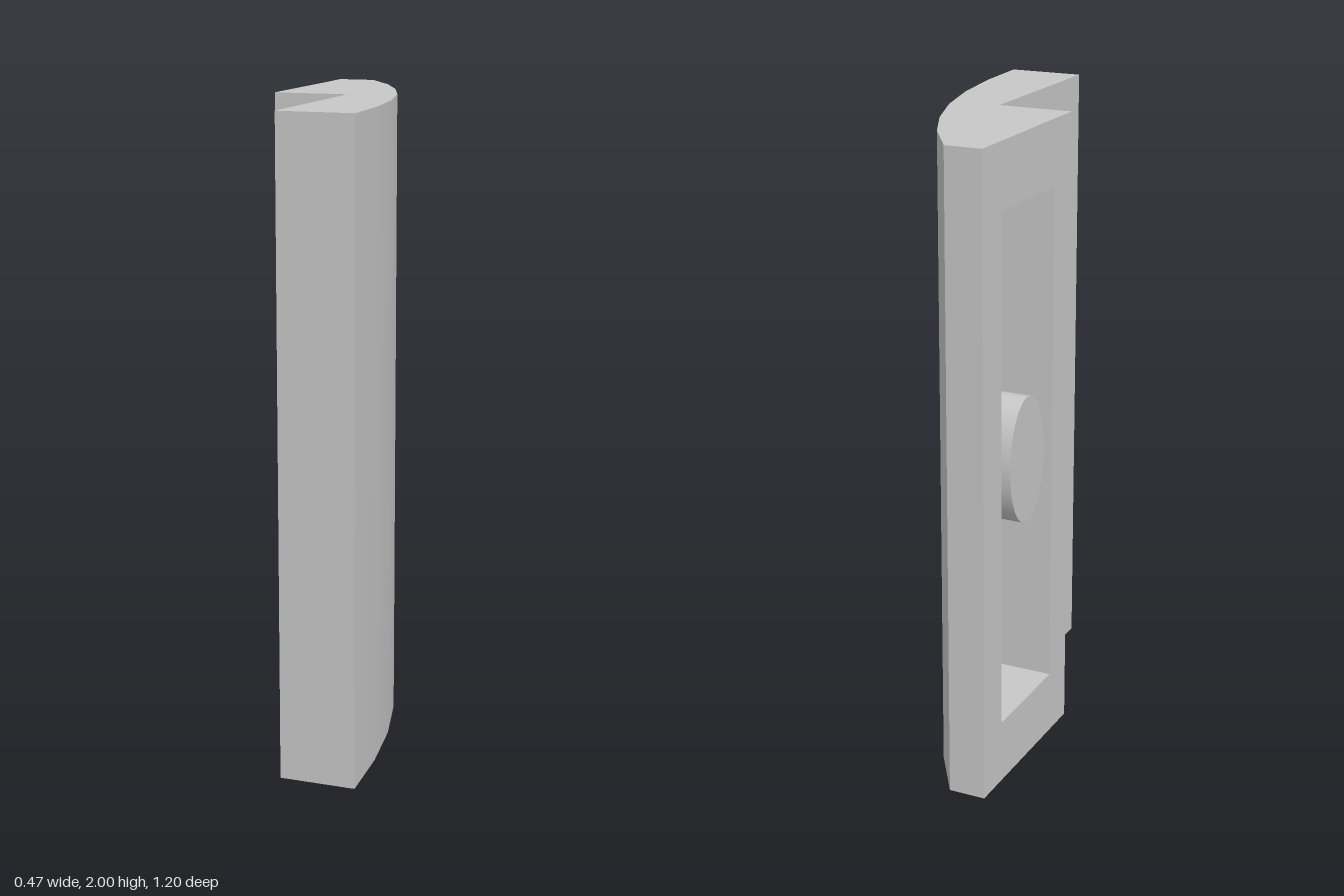
import * as THREE from 'three';
import { toCreasedNormals } from 'three/addons/utils/BufferGeometryUtils.js';

const H = 2, BACK = -0.237, RIM = 0.2, PEG_Y = 0.2, PEG_Z = 0.12;

// faceted outer curve as [x, z], from the front edge to the back edge
const outerCurve = [
  [0.237, 0.6], [0.226, 0.38], [0.197, 0.165], [0.146, -0.048],
  [0.074, -0.25], [-0.011, -0.43], [-0.12, -0.6],
];

// x of the pocket floor, which follows the outer curve at a fixed wall thickness
function floorX(z) {
  const i = outerCurve.findIndex((p) => p[1] <= z);
  const [x0, z0] = outerCurve[i - 1], [x1, z1] = outerCurve[i];
  return x0 + (x1 - x0) * (z - z0) / (z1 - z0) - 0.14;
}

// upright wall along a path of [x, z] points
function wall(path, y0, y1) {
  const pos = [];
  for (let i = 0; i < path.length - 1; i++) {
    const [ax, az] = path[i], [bx, bz] = path[i + 1];
    pos.push(ax, y0, az, bx, y0, bz, bx, y1, bz, ax, y0, az, bx, y1, bz, ax, y1, az);
  }
  const geo = new THREE.BufferGeometry();
  geo.setAttribute('position', new THREE.Float32BufferAttribute(pos, 3));
  return toCreasedNormals(geo, 0.3);
}

// level face with an [x, z] outline, facing up (1) or down (-1)
function level(outline, y, facing) {
  const shape = new THREE.Shape(outline.map(([x, z]) => new THREE.Vector2(x, -facing * z)));
  return new THREE.ShapeGeometry(shape).rotateX(-facing * Math.PI / 2).translate(0, y, 0);
}

function rectangle(z0, z1, y0, y1) {
  return [[z0, y0], [z1, y0], [z1, y1], [z0, y1]].map(([z, y]) => new THREE.Vector2(z, y));
}

export function createModel() {
  const group = new THREE.Group();
  const grey = new THREE.MeshStandardMaterial({ color: 0xc7c7c7 });
  grey.name = 'grey';

  const add = (name, geo) => {
    const mesh = new THREE.Mesh(geo, grey);
    mesh.name = name;
    group.add(mesh);
  };

  // outer shell
  const outline = [...outerCurve, [BACK, -0.6], [BACK, 0], [0, 0], [0, 0.6]];
  add('topFace', level(outline, H, 1));
  add('bottomFace', level(outline, 0, -1));
  add('curvedWall', wall([[0, 0.6], ...outerCurve, [BACK, -0.6]], 0, H));
  add('stepWall', wall([[BACK, 0], [0, 0]], 0, H));

  // two flat sides, each with a pocket and an oval peg
  for (const [name, x, z0] of [['back', BACK, -0.6], ['front', 0, 0]]) {
    const zA = z0 + 0.12, zB = z0 + 0.48, zMid = z0 + 0.3;

    const frame = new THREE.Shape(rectangle(z0, z0 + 0.6, 0, H));
    frame.holes.push(new THREE.Path(rectangle(zA, zB, RIM, H - RIM)));
    add(name + 'Frame', new THREE.ShapeGeometry(frame).rotateY(-Math.PI / 2).translate(x, 0, 0));

    const path = [[x, zA]];
    for (let i = 0; i <= 8; i++) {
      const z = zA + (zB - zA) * i / 8;
      path.push([floorX(z), z]);
    }
    path.push([x, zB]);
    add(name + 'PocketWall', wall(path, RIM, H - RIM));
    add(name + 'PocketBottom', level(path, RIM, 1));
    add(name + 'PocketTop', level(path, H - RIM, -1));

    // peg side, its far end trimmed to the pocket floor
    const peg = new THREE.CylinderGeometry(1, 1, 1, 32, 1, true);
    peg.rotateZ(Math.PI / 2).scale(1, PEG_Y, PEG_Z).translate(0, H / 2, zMid);
    const pos = peg.attributes.position;
    for (let i = 0; i < pos.count; i++) {
      pos.setX(i, pos.getX(i) < 0 ? x : floorX(pos.getZ(i)));
    }
    add(name + 'Peg', peg);
    const tip = new THREE.CircleGeometry(1, 32).rotateY(-Math.PI / 2);
    add(name + 'PegTip', tip.scale(1, PEG_Y, PEG_Z).translate(x, H / 2, zMid));
  }
  return group;
}
